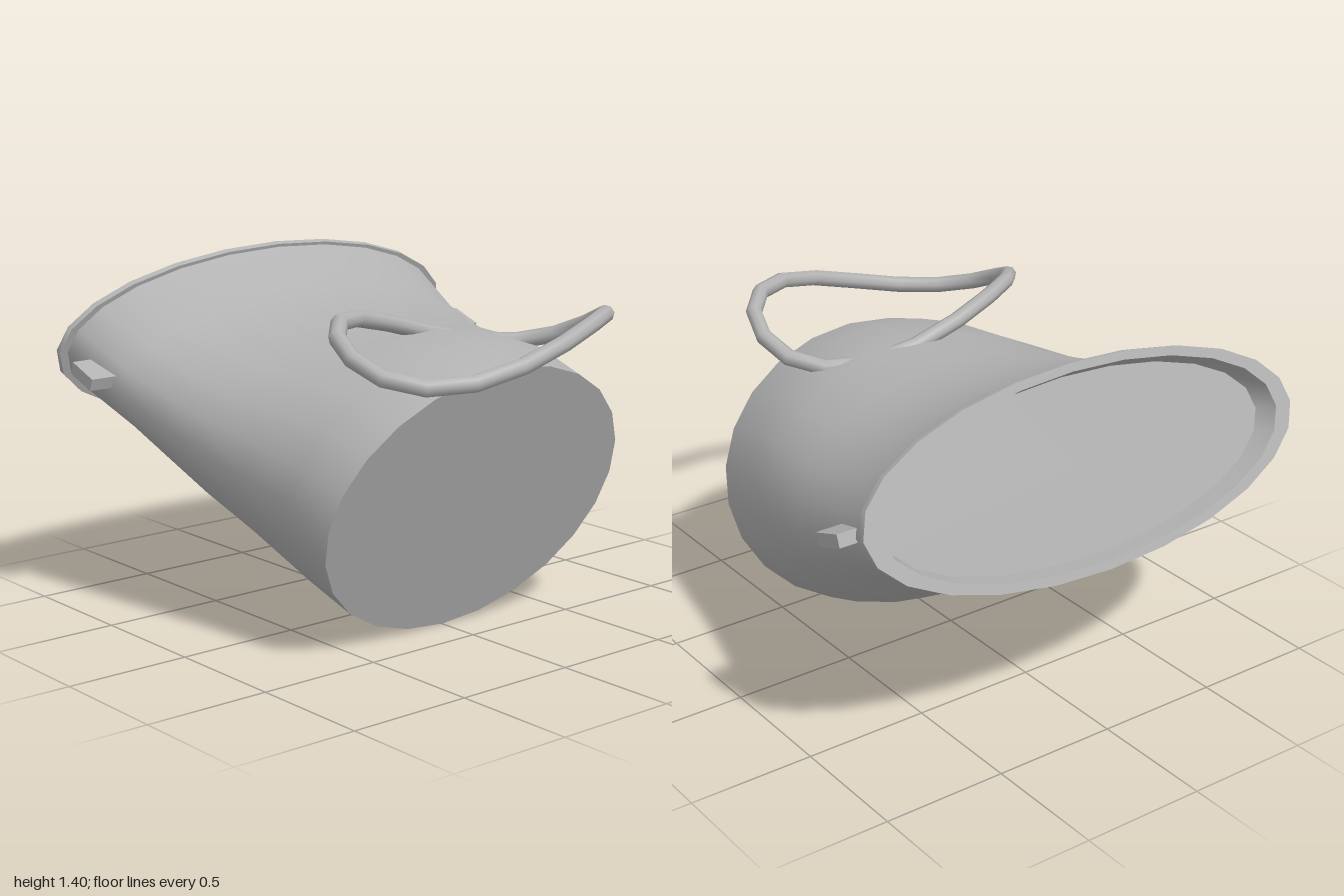
import * as THREE from 'three';

const SIDES = 24;
const RINGS = 18;

// Skin through elliptical sections [t along the axis, half width, top, bottom]
function loft(sections) {
  const pos = [], index = [];
  sections.forEach(([t, rx, top, bottom]) => {
    for (let j = 0; j < SIDES; j++) {
      const a = (j / SIDES) * Math.PI * 2;
      pos.push(rx * Math.cos(a), (top + bottom) / 2 + ((top - bottom) / 2) * Math.sin(a), -t);
    }
  });
  for (let i = 0; i < sections.length - 1; i++) {
    for (let j = 0; j < SIDES; j++) {
      const k = (j + 1) % SIDES;
      const a = i * SIDES + j, b = i * SIDES + k, c = a + SIDES, d = b + SIDES;
      index.push(a, c, b, b, c, d);
    }
  }
  const g = new THREE.BufferGeometry();
  g.setAttribute('position', new THREE.Float32BufferAttribute(pos, 3));
  g.setIndex(index);
  g.computeVertexNormals();
  return g;
}

// Wavy closed ring for the handle, stepped evenly by angle
class HandleCurve extends THREE.Curve {
  getPoint(u, target = new THREE.Vector3()) {
    const a = u * Math.PI * 2;
    return target.set(-0.097 + 0.575 * Math.cos(a), 1.175 + 0.085 * Math.sin(2 * a), 0.595 + 0.372 * Math.sin(a));
  }
  getPointAt(u, target) { return this.getPoint(u, target); }
  getTangentAt(u, target = new THREE.Vector3()) {
    const e = 1e-4;
    return target.copy(this.getPoint(u + e)).sub(this.getPoint(u - e)).normalize();
  }
}

export function createModel() {
  const model = new THREE.Group();
  const grey = new THREE.MeshStandardMaterial({ color: 0xb2b2b2, side: THREE.DoubleSide });
  grey.name = 'grey';

  const add = (parent, name, geometry) => {
    const mesh = new THREE.Mesh(geometry, grey);
    mesh.name = name;
    parent.add(mesh);
    return mesh;
  };

  // Tilted bucket: its axis runs back and up
  const bucket = new THREE.Group();
  bucket.name = 'bucket';
  bucket.position.set(0, 0.54, 0.515);
  bucket.rotation.x = THREE.MathUtils.degToRad(20);
  model.add(bucket);

  const base = [0, 0.72, 0.574, -0.574];
  const neck = [1.437, 0.95, 0.37, -0.37];
  const rimFront = [1.437, 0.985, 0.383, -0.383];
  const rimBack = [1.463, 0.985, 0.383, -0.383];
  const lip = [1.463, 0.91, 0.35, -0.35];
  const floor = [1.385, 0.875, 0.33, -0.33];

  add(bucket, 'base', loft([[0, 0, 0, 0], base]));
  add(bucket, 'wall', loft([
    base,
    [0.23, 0.745, 0.563, -0.57],
    [0.46, 0.785, 0.493, -0.528],
    [0.71, 0.826, 0.403, -0.478],
    [0.93, 0.865, 0.361, -0.426],
    [1.15, 0.902, 0.327, -0.378],
    neck,
  ]));

  // Flange around the mouth and the shallow recess inside it
  add(bucket, 'rimUnderside', loft([neck, rimFront]));
  add(bucket, 'rimEdge', loft([rimFront, rimBack]));
  add(bucket, 'rimFace', loft([rimBack, lip]));
  add(bucket, 'innerWall', loft([lip, floor]));
  add(bucket, 'innerFloor', loft([floor, [1.385, 0, 0, 0]]));

  // Side lugs
  for (const side of [1, -1]) {
    const lug = add(bucket, side > 0 ? 'leftLug' : 'rightLug', new THREE.BoxGeometry(0.14, 0.05, 0.145));
    lug.position.set(side * 0.93, 0, -1.25);
  }

  // Loose handle resting on the wall
  add(model, 'handle', new THREE.TubeGeometry(new HandleCurve(), RINGS, 0.033, 8, true));

  return model;
}
